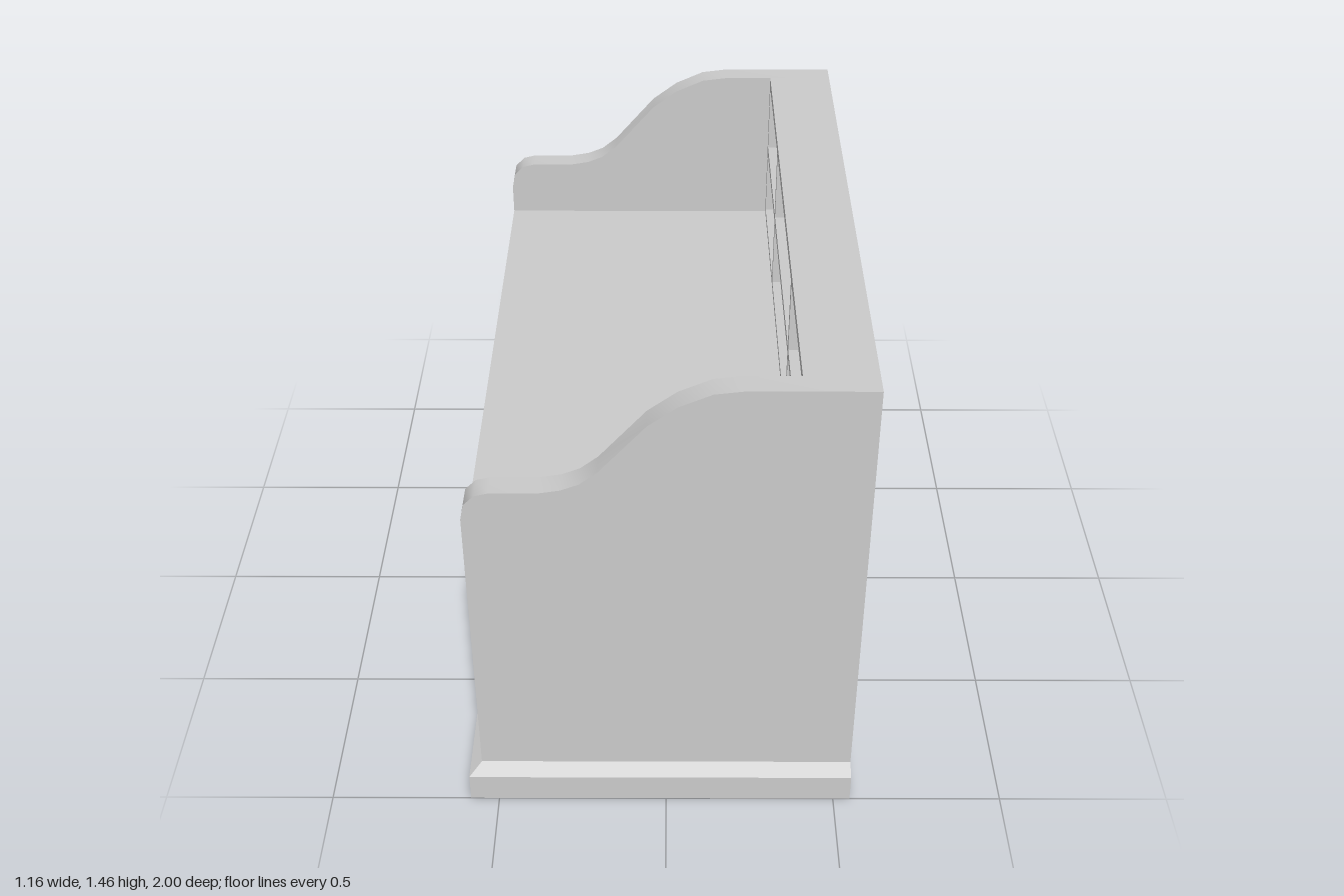
import * as THREE from 'three';
import { toCreasedNormals } from 'three/addons/utils/BufferGeometryUtils.js';

export function createModel() {
  const desk = new THREE.Group();
  desk.name = 'desk';
  const material = new THREE.MeshStandardMaterial({ color: 0xcccccc });

  const add = (name, geometry) => {
    const mesh = new THREE.Mesh(geometry, material);
    mesh.name = name;
    desk.add(mesh);
    return mesh;
  };

  // Box given by its limits on each axis
  const box = (name, [x0, x1], [y0, y1], [z0, z1]) =>
    add(name, new THREE.BoxGeometry(x1 - x0, y1 - y0, z1 - z0))
      .position.set((x0 + x1) / 2, (y0 + y1) / 2, (z0 + z1) / 2);

  // Plinth: a box whose top edges slope in to the given limits
  const plinth = (name, xs, zs, topXs, topZs, shoulder, height) => {
    const g = new THREE.BoxGeometry(2, 2, 2, 1, 2, 1).toNonIndexed();
    const p = g.attributes.position;
    for (let i = 0; i < p.count; i++) {
      const level = Math.round(p.getY(i)) + 1;
      const [lx, lz] = level === 2 ? [topXs, topZs] : [xs, zs];
      p.setXYZ(i, lx[p.getX(i) > 0 ? 1 : 0], [0, shoulder, height][level], lz[p.getZ(i) > 0 ? 1 : 0]);
    }
    g.computeVertexNormals();
    add(name, g);
  };

  // Frame facing -x, with rectangular openings [z0, z1, y0, y1]
  const faceFrame = (name, [z0, z1], [y0, y1], openings, x, depth) => {
    const rect = (T, a, b, c, d) => {
      const s = new T();
      s.moveTo(a, c); s.lineTo(b, c); s.lineTo(b, d); s.lineTo(a, d); s.closePath();
      return s;
    };
    const shape = rect(THREE.Shape, z0, z1, y0, y1);
    openings.forEach((o) => shape.holes.push(rect(THREE.Path, ...o)));
    const g = new THREE.ExtrudeGeometry(shape, { depth, bevelEnabled: false });
    g.rotateY(-Math.PI / 2).translate(x + depth, 0, 0);
    add(name, g);
  };

  // Curved side panels
  const outline = [
    [-0.55, 0], [0.55, 0], [0.55, 1.46], [0.2, 1.46], [0.12, 1.45], [0.03, 1.41], [-0.05, 1.35],
    [-0.18, 1.2], [-0.23, 1.16], [-0.28, 1.14], [-0.34, 1.13], [-0.47, 1.13], [-0.51, 1.12],
    [-0.54, 1.09], [-0.55, 1.04],
  ].map(([x, y]) => new THREE.Vector2(x, y));
  const panel = toCreasedNormals(
    new THREE.ExtrudeGeometry(new THREE.Shape(outline), { depth: 0.07, bevelEnabled: false }), 0.6);
  add('leftSidePanel', panel).position.z = 0.885;
  add('rightSidePanel', panel).position.z = -0.975;

  // Plinths under the pedestal and the leg panel
  plinth('pedestalPlinth', [-0.585, 0.55], [0.39, 1], [-0.55, 0.55], [0.39, 0.955], 0.09, 0.11);
  plinth('legPlinth', [-0.58, 0.58], [-1, -0.885], [-0.55, 0.55], [-0.975, -0.905], 0.09, 0.115);

  // Desk top and back board
  const inside = [-0.905, 0.885];
  box('deskTop', [-0.55, 0.53], [0.895, 0.945], inside);
  box('backBoard', [0.53, 0.55], [0.895, 1.46], inside);

  // Pedestal with four recessed drawers
  const recess = 0.045;
  box('pedestalBody', [-0.55 + recess, 0.55], [0.1, 0.895], [0.39, 0.885]);
  const drawers = [];
  for (let i = 0; i < 4; i++) {
    const y = 0.125 + i * 0.186;
    drawers.push([0.405, 0.86, y, y + 0.16]);
  }
  faceFrame('drawerFrame', [0.39, 0.885], [0.1, 0.895], drawers, -0.55, recess);

  // Hutch: top board, face frame, small drawers beside open cubbies
  const front = 0.35;
  box('hutchTop', [front + recess, 0.53], [1.43, 1.46], inside);
  const columns = [[-0.88, -0.41], [-0.385, 0.365], [0.39, 0.86]];
  const rows = [[0.965, 1.185], [1.21, 1.43]];
  const cubbies = columns.flatMap((c) => rows.map((r) => [...c, ...r]));
  faceFrame('hutchFrame', inside, [0.945, 1.46], cubbies, front, recess);
  box('rightSmallDrawers', [front + recess, 0.53], [0.945, 1.43], [-0.905, -0.385]);
  box('leftSmallDrawers', [front + recess, 0.53], [0.945, 1.43], [0.365, 0.885]);
  box('middleShelf', [front + recess, 0.53], [1.185, 1.21], columns[1]);
  box('bottomShelf', [front + recess, 0.53], [0.945, 0.965], columns[1]);

  return desk;
}
